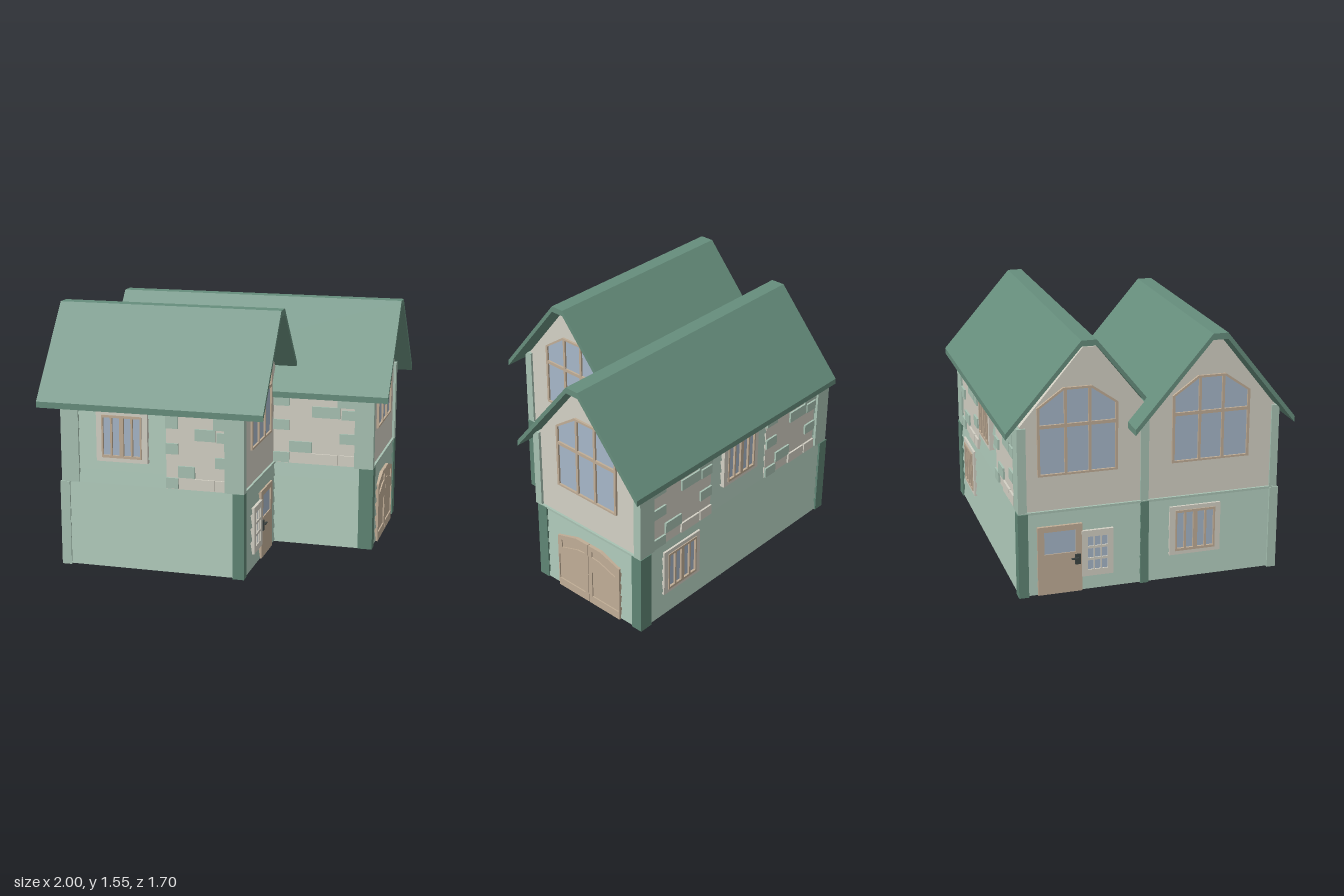
import * as THREE from 'three';

const mat = (color) => new THREE.MeshStandardMaterial({ color, side: THREE.DoubleSide });
const M = {
  roof: mat(0x668d7c), post: mat(0x5f8574), board: mat(0xa8c2b3), cream: mat(0xd3d0c4),
  wood: mat(0xc0ad96), glass: mat(0xa6b6c8), iron: mat(0x3c4442),
};

function add(parent, name, geo, m) {
  const mesh = new THREE.Mesh(geo, m);
  mesh.name = name;
  parent.add(mesh);
  return mesh;
}

// Box given by its limits on each axis
function box(parent, name, x0, x1, y0, y1, z0, z1, m) {
  const mesh = add(parent, name, new THREE.BoxGeometry(x1 - x0, y1 - y0, z1 - z0), m);
  mesh.position.set((x0 + x1) / 2, (y0 + y1) / 2, (z0 + z1) / 2);
  return mesh;
}

const toShape = (pts) => new THREE.Shape(pts.map(([x, y]) => new THREE.Vector2(x, y)));

// Flat outline with holes, thickened from z0 to z1
function slab(parent, name, pts, z0, z1, m, holes = []) {
  const shape = toShape(pts);
  shape.holes = holes.map((h) => new THREE.Path(h.map(([x, y]) => new THREE.Vector2(x, y))));
  const geo = new THREE.ExtrudeGeometry(shape, { depth: z1 - z0, bevelEnabled: false });
  return add(parent, name, geo.translate(0, 0, z0), m);
}

// Profile in (z, y) swept along x
function sweepX(parent, name, pts, x0, x1, m) {
  const geo = new THREE.ExtrudeGeometry(toShape(pts), { depth: x1 - x0, bevelEnabled: false });
  return add(parent, name, geo.rotateY(-Math.PI / 2).translate(x1, 0, 0), m);
}

const rect = (x0, x1, y0, y1) => [[x0, y0], [x1, y0], [x1, y1], [x0, y1]];

// Group whose local x runs along a wall and local z points out of it
function wallFrame(parent, name, angle, dist) {
  const g = new THREE.Group();
  g.name = name;
  g.rotation.y = angle;
  g.position.set(Math.sin(angle) * dist, 0, Math.cos(angle) * dist);
  parent.add(g);
  return g;
}

// Overlapping clapboards as one sawtooth profile
function boards(g, name, u0, u1, y0, y1, w = 0) {
  const pts = [[w - 0.03, y0]], n = 6, h = (y1 - y0) / n;
  for (let i = 0; i < n; i++) pts.push([w + 0.013, y0 + i * h], [w, y0 + (i + 1) * h]);
  pts.push([w - 0.03, y1]);
  sweepX(g, name, pts, u0, u1, M.board);
}

// Plaster panel with raised bricks (fractions of the panel)
const BRICKS = [[0, 0.2, 0.74, 0.9], [0.47, 0.8, 0.61, 0.75], [0.77, 1, 0.75, 0.9], [0, 0.2, 0.43, 0.56],
  [0.82, 1, 0.6, 0.72], [0.8, 1, 0.29, 0.42], [0.2, 0.47, 0.15, 0.29], [0, 0.2, 0.01, 0.14]];
function brickPanel(g, u0, u1) {
  const y0 = 0.53, y1 = 1.03, W = u1 - u0, H = y1 - y0;
  box(g, 'plasterPanel', u0, u1, y0, y1, -0.048, 0.002, M.cream);
  for (const [a, b, c, d] of BRICKS)
    box(g, 'brick', u0 + a * W, u0 + b * W, y0 + c * H, y0 + d * H, 0, 0.014, M.board);
  for (const [a, b] of [[0.47, 0.78], [0.8, 1]])
    box(g, 'paleBrick', u0 + a * W, u0 + b * W, y0 + 0.01 * H, y0 + 0.14 * H, 0, 0.014, M.cream);
}

// Small casement window
function casement(g, c, y0) {
  const y1 = y0 + 0.31;
  slab(g, 'windowCasing', rect(c - 0.16, c + 0.16, y0, y1), -0.05, 0.022, M.cream,
    [rect(c - 0.125, c + 0.125, y0 + 0.025, y1 - 0.025)]);
  const holes = [-0.115, -0.058, 0.013, 0.07].map((u) => rect(c + u, c + u + 0.045, y0 + 0.04, y1 - 0.04));
  slab(g, 'windowFrame', rect(c - 0.125, c + 0.125, y0 + 0.025, y1 - 0.025), -0.05, 0.028, M.wood, holes);
  box(g, 'windowGlass', c - 0.12, c + 0.12, y0 + 0.03, y1 - 0.03, -0.035, 0.014, M.glass);
}

// Large window with a clipped top
function gableWindow(g, c) {
  const topAt = (u) => (Math.abs(u) < 0.085 ? 1.262 : 1.262 - (Math.abs(u) - 0.085) * 0.72);
  const outer = [[-0.24, 0.75], [0.24, 0.75], [0.24, 1.165], [0.085, 1.275], [-0.085, 1.275], [-0.24, 1.165]]
    .map(([u, y]) => [c + u, y]);
  const holes = [];
  for (const [a, b] of [[-0.225, -0.08], [-0.064, 0.064], [0.08, 0.225]]) {
    holes.push(rect(c + a, c + b, 0.762, 1.04));
    holes.push([[c + a, 1.06], [c + b, 1.06], [c + b, topAt(b)], [c + a, topAt(a)]]);
  }
  slab(g, 'gableWindowFrame', outer, -0.06, 0.014, M.wood, holes);
  slab(g, 'gableWindowGlass', outer.map(([u, y]) => [c + (u - c) * 0.97, y + (y > 1 ? -0.005 : 0.005)]),
    -0.05, 0.002, M.glass);
}

// Door with side window; s = 1 puts the door to the right of the window
function doorSet(g, c, s) {
  const span = (a, b) => (s > 0 ? [c + a, c + b] : [c - b, c - a]);
  slab(g, 'door', rect(...span(0, 0.27), 0.01, 0.44), -0.045, 0.022, M.wood, [rect(...span(0.04, 0.23), 0.265, 0.405)]);
  box(g, 'doorGlass', ...span(0.035, 0.235), 0.26, 0.41, -0.035, 0.015, M.glass);
  box(g, 'lockPlate', ...span(0.012, 0.045), 0.185, 0.25, 0.02, 0.03, M.iron);
  box(g, 'doorLever', ...span(0.025, 0.068), 0.222, 0.23, 0.03, 0.042, M.iron);
  const panes = [];
  for (let i = 0; i < 3; i++) for (let j = 0; j < 3; j++)
    panes.push(rect(...span(-0.155 + i * 0.043, -0.119 + i * 0.043), 0.14 + j * 0.075, 0.2 + j * 0.075));
  slab(g, 'sideWindow', rect(...span(-0.19, 0.004), 0.1, 0.39), -0.045, 0.026, M.cream, panes);
  box(g, 'sideWindowGlass', ...span(-0.17, -0.02), 0.12, 0.37, -0.035, 0.018, M.glass);
}

// Pair of arched garage doors with recessed panels
function garageDoors(g, c) {
  const top = (u) => (u < 0.1 ? 0.43 : 0.43 - (u - 0.1) * 0.3);
  for (const s of [-1, 1]) {
    const P = (pts) => pts.map(([u, y]) => [c + s * u, y]);
    const leaf = P([[0.002, 0.005], [0.257, 0.005], [0.257, top(0.257)], [0.1, 0.43], [0.002, 0.43]]);
    const upper = P([[0.03, 0.355], [0.09, 0.35], [0.225, 0.305], [0.225, 0.36], [0.1, 0.398], [0.03, 0.398]]);
    slab(g, 'garageDoor', leaf, -0.04, 0.024, M.wood, [P(rect(0.03, 0.25, 0.06, 0.245)), upper]);
    slab(g, 'garageDoorPanel', leaf, -0.03, 0.016, M.wood);
  }
}

// Gable end: boards below, ledge, plaster above
function gableEnd(g, u0, u1, pts) {
  boards(g, 'lowerBoards', u0, u1, 0.012, 0.53);
  box(g, 'ledge', u0, u1, 0.522, 0.536, -0.05, 0.014, M.board);
  slab(g, 'gablePlaster', pts, -0.05, 0, M.cream);
}

// Thick roof with a narrow flat ridge; points run from front eave to back eave
function roof(parent, name, pts, x0, x1) {
  const t = 0.037;
  sweepX(parent, name, [...pts, ...pts.map(([z, y]) => [z, y - t]).reverse()], x0, x1, M.roof);
}

export function createModel() {
  const house = new THREE.Group();
  house.name = 'house';

  // Roofs
  roof(house, 'frontRoof', [[0.85, 1.02], [0.42, 1.56], [0.33, 1.56], [-0.127, 1.03]], -1, 0.4);
  roof(house, 'backRoof', [[0.12, 1.002], [-0.31, 1.535], [-0.4, 1.535], [-0.85, 1.022]], -0.84, 1);

  // Long walls
  const front = wallFrame(house, 'frontWall', 0, 0.803);
  boards(front, 'lowerBoards', -0.84, 0.25, 0.012, 0.53);
  boards(front, 'upperBoards', -0.8, -0.2, 0.53, 1.03, -0.012);
  brickPanel(front, -0.2, 0.18);
  casement(front, -0.47, 0.675);

  const porch = wallFrame(house, 'recessedFrontWall', 0, 0.045);
  boards(porch, 'lowerBoards', 0.26, 0.87, 0.005, 0.53);
  brickPanel(porch, 0.26, 0.8);

  const back = wallFrame(house, 'backWall', Math.PI, 0.775);
  boards(back, 'lowerBoards', -0.87, 0.83, 0.012, 0.53);
  boards(back, 'upperBoards', -0.85, 0.8, 0.53, 1.03, -0.012);
  brickPanel(back, -0.79, -0.28);
  brickPanel(back, 0.24, 0.73);
  casement(back, -0.55, 0.165);
  casement(back, -0.02, 0.675);

  // Gable ends, outlines in (z, y)
  const frontGable = [[0.8, 0.53], [0.8, 1.035], [0.415, 1.52], [0.335, 1.52], [-0.02, 1.1], [-0.02, 0.53]];
  const backGable = [[-0.77, 0.53], [-0.77, 1.06], [-0.395, 1.5], [-0.315, 1.5], [0.05, 1.04], [0.05, 0.53]];
  const flip = (pts) => pts.map(([z, y]) => [-z, y]);

  const rf = wallFrame(house, 'rightFrontGable', Math.PI / 2, 0.265);
  gableEnd(rf, -0.8, -0.04, flip(frontGable));
  gableWindow(rf, -0.382);
  doorSet(rf, -0.43, 1);

  const rb = wallFrame(house, 'rightBackGable', Math.PI / 2, 0.893);
  gableEnd(rb, -0.04, 0.77, flip(backGable));
  gableWindow(rb, 0.355);
  garageDoors(rb, 0.367);

  const lf = wallFrame(house, 'leftFrontGable', -Math.PI / 2, 0.85);
  gableEnd(lf, -0.02, 0.805, frontGable);
  gableWindow(lf, 0.382);
  casement(lf, 0.29, 0.165);

  const lb = wallFrame(house, 'leftBackGable', -Math.PI / 2, 0.85);
  gableEnd(lb, -0.77, -0.02, [...backGable.slice(0, 4), [-0.02, 1.13], [-0.02, 0.53]]);
  gableWindow(lb, -0.43);
  doorSet(lb, -0.41, -1);

  // Corner posts: x0, x1, z0, z1 for the lower part, then for the upper part
  const posts = [
    ['frontRightPost', 0.21, 0.28, 0.762, 0.822, 0.16, 0.28, 0.765, 0.818, M.post],
    ['porchPost', 0.82, 0.91, -0.01, 0.065, 0.79, 0.91, 0.03, 0.08, M.post],
    ['backRightPost', 0.82, 0.91, -0.795, -0.72, 0.79, 0.91, -0.79, -0.738, M.post],
    ['backLeftPost', -0.87, -0.8, -0.795, -0.735, -0.862, -0.75, -0.79, -0.738, M.post],
    ['leftMiddlePost', -0.868, -0.82, -0.05, 0.0, -0.86, -0.82, -0.05, 0.0, M.post],
    ['frontLeftPost', -0.87, -0.81, 0.765, 0.82, -0.862, -0.75, 0.765, 0.812, M.board],
  ];
  for (const [name, a, b, c, d, e, f, g, h, m] of posts) {
    box(house, name + 'Lower', a, b, 0.005, 0.53, c, d, m);
    box(house, name + 'Upper', e, f, 0.53, 1.05, g, h, M.board);
  }
  return house;
}
